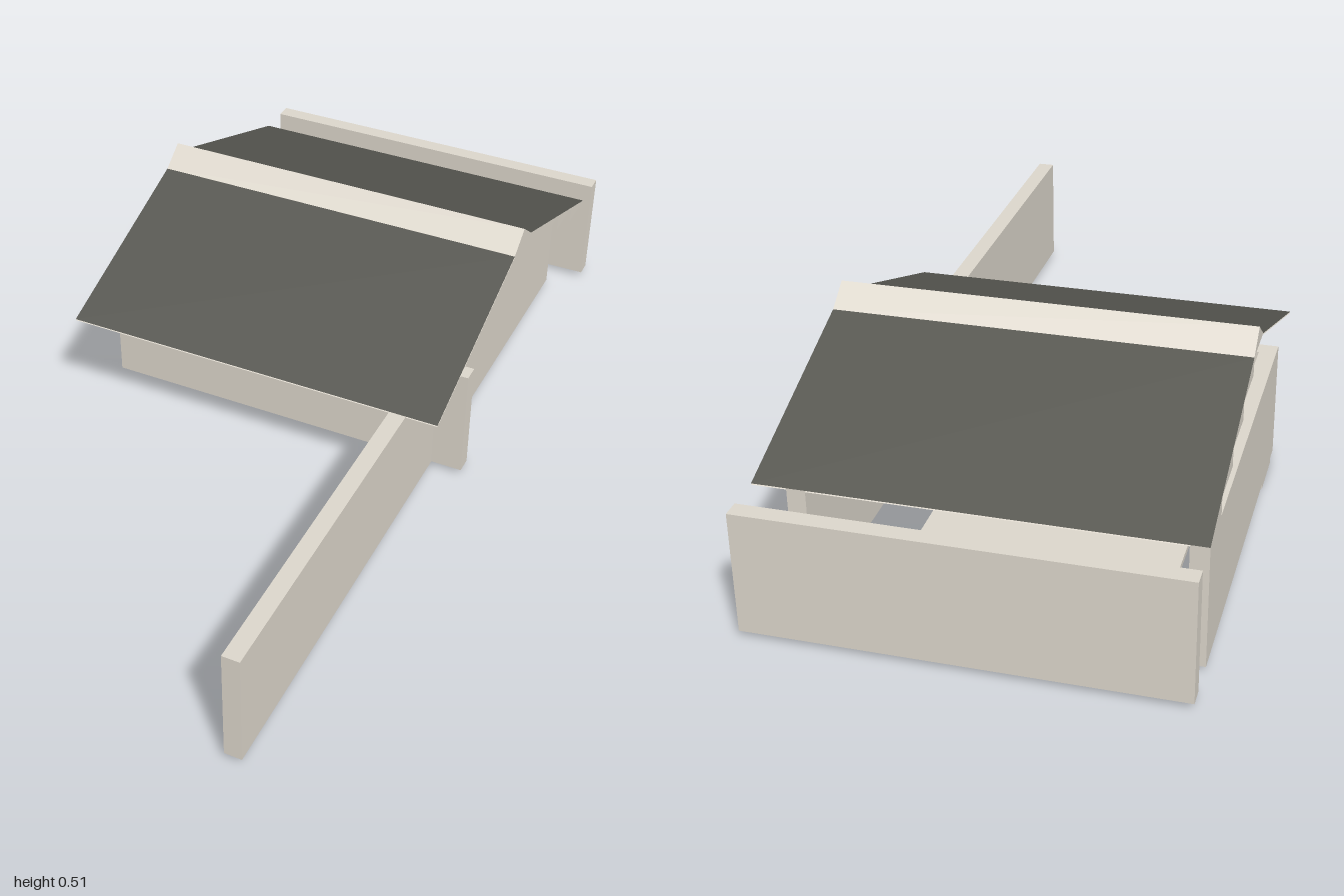
import * as THREE from 'three';

const CELL = 0.1175;            // plan grid module
const HALF = CELL * 4;          // half width of the house
const EAVE = 0.293, RISE = 0.0425;
const FLOOR_TOP = 0.0135;

export function createModel() {
  const group = new THREE.Group();
  const stone = new THREE.MeshStandardMaterial({ color: 0xded8cd, flatShading: true });
  const stoneThin = new THREE.MeshStandardMaterial({ color: 0xded8cd, flatShading: true, side: THREE.DoubleSide });
  const slateThin = new THREE.MeshStandardMaterial({ color: 0x585852, flatShading: true, side: THREE.DoubleSide });

  function block(name, [x0, x1], [y0, y1], [z0, z1]) {
    const mesh = new THREE.Mesh(new THREE.BoxGeometry(x1 - x0, y1 - y0, z1 - z0), stone);
    mesh.position.set((x0 + x1) / 2, (y0 + y1) / 2, (z0 + z1) / 2);
    mesh.name = name;
    group.add(mesh);
  }

  // Walls
  const wallY = [FLOOR_TOP, EAVE];
  block('frontWall', [-HALF, HALF], wallY, [-0.055, -0.015]);
  block('backWall', [-HALF, HALF], wallY, [-1, -0.96]);
  block('rightWall', [-HALF, -HALF + 0.04], wallY, [-0.8825, -0.055]);
  block('leftWall', [0.3535, 0.394], wallY, [-0.8825, -0.055]);
  block('longGardenWall', [0.3535, 0.394], wallY, [-0.015, 1]);

  // Floor slabs
  const floorY = [0, FLOOR_TOP];
  block('mainFloor', [-3 * CELL, 2 * CELL], floorY, [-0.765, -0.295]);
  block('floorTab', [-2 * CELL, -CELL], floorY, [-0.8825, -0.765]);
  block('frontFloor', [-HALF, -CELL], floorY, [-0.175, -0.055]);

  // Roof sheet spanning the house between a rear and a front (z, y) edge
  function sheet(name, rear, front, material, drop = 0) {
    const geo = new THREE.PlaneGeometry(2 * HALF, 1);
    [rear, rear, front, front].forEach(([z, y], i) =>
      geo.attributes.position.setXYZ(i, i % 2 ? HALF : -HALF, y - drop, z));
    geo.computeVertexNormals();
    const mesh = new THREE.Mesh(geo, material);
    mesh.name = name;
    group.add(mesh);
  }

  // Roof: dark slopes with a pale lining just below, and a pale ridge cap
  const shoulder = EAVE + 4 * RISE;
  const backEave = [-0.8825, EAVE], backShoulder = [-0.4125, shoulder];
  const ridge = [-0.354, 0.507];
  const frontShoulder = [-0.295, shoulder], frontEave = [0.178, EAVE];
  for (const [name, rear, front] of [
    ['backSlope', backEave, backShoulder],
    ['frontSlope', frontShoulder, frontEave],
  ]) {
    sheet(name, rear, front, slateThin);
    sheet(name + 'Lining', rear, front, stoneThin, 0.003);
  }
  sheet('ridgeBack', backShoulder, ridge, stoneThin);
  sheet('ridgeFront', ridge, frontShoulder, stoneThin);

  // Triangular gussets under the ridge and the stepped back slope
  const triangles = [[frontShoulder, ridge, backShoulder]];
  for (let s = 0; s < 4; s++) {
    const z = backShoulder[0] - s * CELL, y = shoulder - s * RISE;
    triangles.push([[z, y], [z - CELL, y - RISE], [z, y - RISE]]);
  }
  const shapes = triangles.map(t => new THREE.Shape(t.map(([z, y]) => new THREE.Vector2(-z, y))));
  const gussetGeo = new THREE.ShapeGeometry(shapes);
  gussetGeo.rotateY(Math.PI / 2);
  for (let k = 0; k <= 8; k++) {
    const gusset = new THREE.Mesh(gussetGeo, stoneThin);
    gusset.position.x = -HALF + k * CELL;
    gusset.name = 'roofGussets';
    group.add(gusset);
  }

  return group;
}
